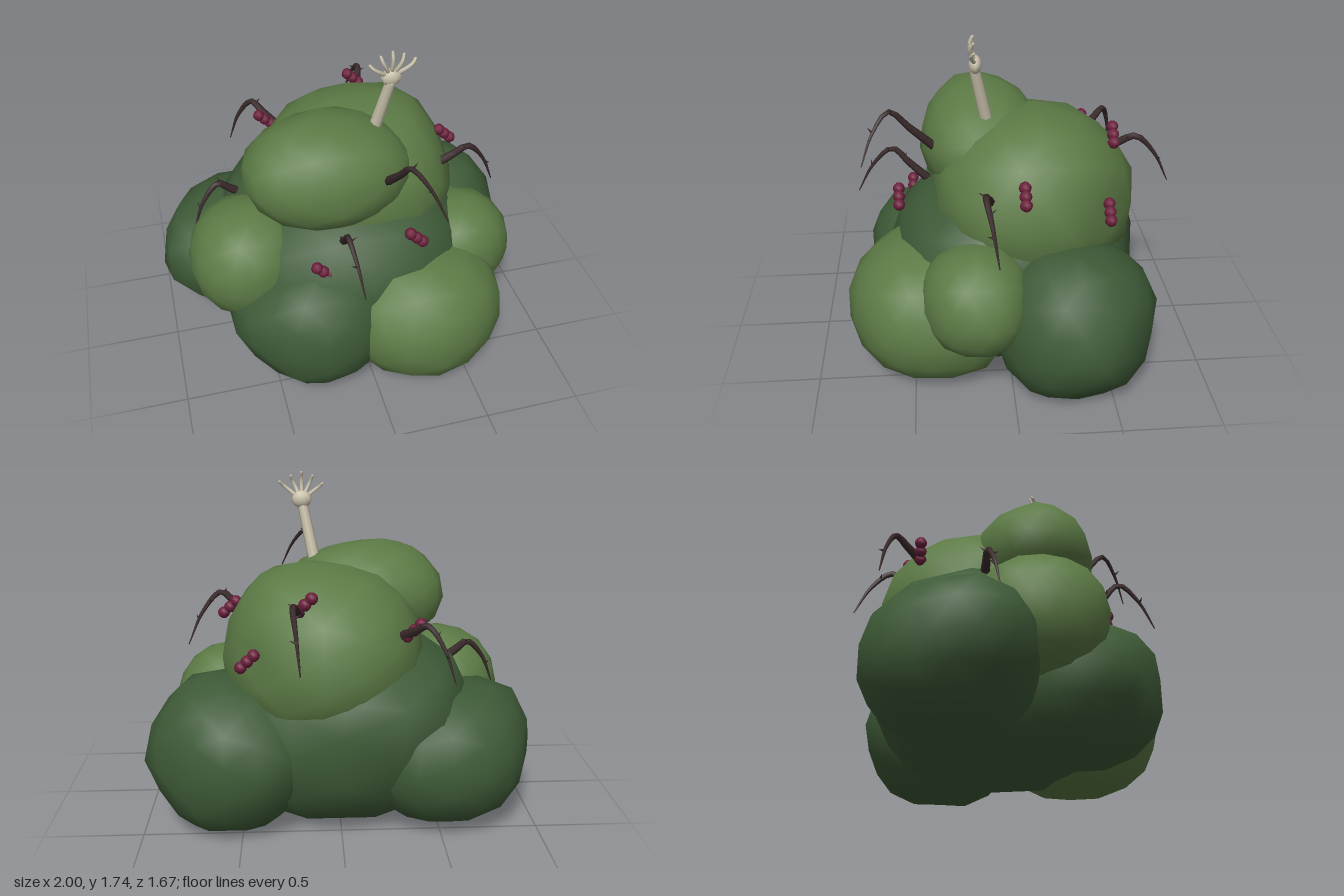
import * as THREE from 'three';
import { mergeVertices } from 'three/addons/utils/BufferGeometryUtils.js';

const mat = (name, color) => {
  const m = new THREE.MeshStandardMaterial({ color });
  m.name = name;
  return m;
};
const V = (p) => new THREE.Vector3(...p);

export function createModel() {
  const lightLeaf = mat('light leaf green', 0x5c7a45);
  const darkLeaf = mat('dark leaf green', 0x3e5a37);
  const bark = mat('dark bark', 0x3a2a2b);
  const berryRed = mat('berry red', 0x6c1f3b);
  const bone = mat('bone', 0xc9c2ab);
  const root = new THREE.Group();
  root.name = 'thornBush';

  const add = (parent, name, geo, material) => {
    const mesh = new THREE.Mesh(geo, material);
    mesh.name = name;
    parent.add(mesh);
    return mesh;
  };
  const group = (name) => {
    const g = new THREE.Group();
    g.name = name;
    root.add(g);
    return g;
  };

  // Leaf clump: ellipsoid pulled out or in towards the given lump points,
  // flattened at the ground
  const clump = (name, material, c, r, lumps = [], boxiness = 0.93) => {
    let geo = new THREE.IcosahedronGeometry(1, 2);
    geo.deleteAttribute('normal');
    geo.deleteAttribute('uv');
    geo = mergeVertices(geo, 1e-4);
    const p = geo.attributes.position, v = new THREE.Vector3();
    const box = (t) => Math.sign(t) * Math.pow(Math.abs(t), boxiness);
    const pulls = lumps.map((q) => V(q).sub(V(c)).divide(V(r)));
    for (let i = 0; i < p.count; i++) {
      v.fromBufferAttribute(p, i);
      v.set(box(v.x), box(v.y), box(v.z));
      const base = v.length();
      let sum = 0, total = 0;
      for (const q of pulls) {
        const w = Math.exp(-((v.angleTo(q) / 0.42) ** 2));
        sum += w * (q.length() - base);
        total += w;
      }
      v.multiplyScalar((base + sum / Math.max(1, total)) / base).multiply(V(r)).add(V(c));
      p.setXYZ(i, v.x, Math.max(0.005, v.y), v.z);
    }
    geo.computeVertexNormals();
    add(root, name, geo, material);
  };
  clump('core', darkLeaf, [0, 0.45, -0.03], [0.66, 0.5, 0.65],
    [[0.3, 0.92, 0.28], [-0.58, 0.85, -0.2], [-0.45, 0.75, -0.62], [0.1, 0.6, -0.68]], 0.84);
  clump('frontRightClump', darkLeaf, [-0.28, 0.35, 0.33], [0.44, 0.38, 0.42],
    [[-0.5, 0.62, 0.38], [-0.54, 0.14, 0.4], [-0.52, 0.36, 0.62], [-0.1, 0.73, 0.35]]);
  clump('frontLeftClump', lightLeaf, [0.3, 0.34, 0.41], [0.45, 0.37, 0.42],
    [[0.2, 0.36, 0.84], [0.74, 0.36, 0.43], [0.55, 0.36, 0.75], [-0.03, 0.4, 0.73],
      [0.02, 0.67, 0.48], [0.42, 0.69, 0.42], [0.63, 0.18, 0.08], [0.3, 0.14, 0.79]]);
  clump('backLeftClump', darkLeaf, [0.57, 0.37, -0.31], [0.42, 0.41, 0.41],
    [[1, 0.38, -0.43], [0.87, 0.42, -0.05], [0.6, 0.5, -0.72], [0.25, 0.42, -0.68],
      [0.82, 0.4, -0.57], [0.74, 0.78, -0.22], [0.89, 0.62, -0.3], [0.88, 0.16, -0.35]]);
  clump('backRightClump', darkLeaf, [-0.53, 0.37, -0.31], [0.45, 0.37, 0.42],
    [[-1, 0.39, -0.06], [-0.95, 0.39, -0.4], [-0.78, 0.38, -0.67], [-0.43, 0.4, -0.73],
      [-0.92, 0.62, -0.12], [-0.85, 0.19, -0.25]]);
  clump('rightClump', lightLeaf, [-0.57, 0.6, 0.1], [0.31, 0.31, 0.33],
    [[-0.66, 0.89, 0.1], [-0.42, 0.9, 0.1], [-0.87, 0.58, 0], [-0.75, 0.58, 0.38]]);
  clump('leftClump', lightLeaf, [0.57, 0.52, 0.18], [0.3, 0.28, 0.28],
    [[0.87, 0.52, 0.06], [0.74, 0.55, 0.4], [0.62, 0.8, 0.08], [0.65, 0.28, 0.28]]);
  clump('topDome', lightLeaf, [0.09, 0.87, -0.16], [0.53, 0.45, 0.54],
    [[0.41, 0.9, -0.46], [0.52, 1.06, -0.07], [0.62, 0.86, -0.2], [0.4, 1.28, -0.12],
      [0.1, 1.14, -0.55], [0.1, 0.88, -0.69], [-0.3, 1.02, -0.48]]);
  clump('topFrontClump', lightLeaf, [-0.14, 1.09, 0.12], [0.45, 0.28, 0.32],
    [[-0.33, 1.38, 0.18], [-0.07, 1.36, -0.05], [0.13, 1.31, 0.12], [0.3, 1.07, 0.16],
      [-0.15, 0.97, 0.43], [-0.15, 1.15, 0.42], [-0.58, 1.07, 0.12], [-0.48, 0.93, 0.14]]);

  // Tube along a curve whose radius tapers from r0 to r1
  const taperTube = (curve, r0, r1, steps, sides) => {
    const geo = new THREE.TubeGeometry(curve, steps, 1, sides);
    const p = geo.attributes.position, v = new THREE.Vector3();
    for (let i = 0; i <= steps; i++) {
      const c = curve.getPointAt(i / steps);
      const r = r0 + (r1 - r0) * i / steps;
      for (let j = 0; j <= sides; j++) {
        const k = i * (sides + 1) + j;
        v.fromBufferAttribute(p, k).sub(c).multiplyScalar(r).add(c);
        p.setXYZ(k, v.x, v.y, v.z);
      }
    }
    return geo;
  };
  const up = new THREE.Vector3(0, 1, 0);

  // Thorny branches: root, bend and tip
  const branches = [
    [[0.11, 1.14, 0.36], [0.16, 1.36, 0.58], [0.3, 1.13, 0.72]],
    [[-0.12, 0.84, 0.4], [-0.145, 1.02, 0.59], [-0.11, 0.79, 0.78]],
    [[0.48, 1.01, 0.1], [0.62, 1.11, 0.13], [0.8, 0.83, 0.08]],
    [[0.18, 1.13, -0.47], [0.23, 1.22, -0.64], [0.2, 0.95, -0.83]],
    [[-0.3, 1.03, -0.47], [-0.4, 1.11, -0.59], [-0.53, 0.84, -0.66]],
    [[-0.56, 0.82, -0.16], [-0.67, 0.9, -0.155], [-0.82, 0.66, -0.11]],
  ];
  branches.forEach((pts, n) => {
    const g = group('thornBranch' + (n + 1));
    const [a, b, c] = pts.map(V);
    const mid = b.clone().lerp(c, 0.45).addScaledVector(c.clone().sub(a).setY(0).normalize(), 0.02);
    mid.y += 0.02;
    const curve = new THREE.CatmullRomCurve3([a, a.clone().lerp(b, 0.55), b, mid, c]);
    add(g, 'stem', taperTube(curve, 0.024, 0.003, 14, 6), bark);
    const cap = add(g, 'stemEnd', new THREE.SphereGeometry(0.024, 6, 4), bark);
    cap.position.copy(a);
    [0.3, 0.5, 0.72].forEach((t, i) => {
      const tangent = curve.getTangentAt(t);
      const side = new THREE.Vector3().crossVectors(tangent, up).normalize();
      if (i % 2) side.negate();
      side.addScaledVector(up, 0.5).normalize();
      const thorn = add(g, 'thorn', new THREE.ConeGeometry(0.008, 0.04, 5), bark);
      thorn.position.copy(curve.getPointAt(t)).addScaledVector(side, 0.022);
      thorn.quaternion.setFromUnitVectors(up, side);
    });
  });

  // Berry clusters of three
  const berryGeo = new THREE.SphereGeometry(0.031, 8, 6);
  [
    [0.212, 0.915, 0.55], [-0.247, 0.74, 0.49], [0.56, 1.075, -0.06],
    [0.455, 0.915, -0.49], [0.175, 1.205, -0.54], [-0.35, 1.055, -0.47],
  ].forEach(([x, y, z], n) => {
    const g = group('berryCluster' + (n + 1));
    for (const k of [-1, 0, 1]) {
      add(g, 'berry', berryGeo, berryRed).position.set(x + k * 0.032, y - k * 0.03, z);
    }
  });

  // Skeletal arm and hand
  const arm = group('boneArm');
  const forearm = new THREE.LineCurve3(V([0.11, 1.25, 0.09]), V([0.175, 1.57, 0.155]));
  add(arm, 'forearm', taperTube(forearm, 0.033, 0.027, 2, 8), bone);
  const wrist = add(arm, 'wrist', new THREE.SphereGeometry(0.027, 8, 6), bone);
  wrist.position.copy(forearm.v2);
  const palm = add(arm, 'palm', new THREE.SphereGeometry(1, 10, 8), bone);
  palm.position.set(0.18, 1.6, 0.152);
  palm.scale.set(0.052, 0.046, 0.032);
  [[0.07, 1.68], [0.122, 1.72], [0.18, 1.738], [0.236, 1.72], [0.294, 1.69]].forEach(([x, y], i) => {
    const dx = x - 0.18, dy = y - 1.6;
    const curve = new THREE.CatmullRomCurve3([
      V([0.18 + dx * 0.25, 1.6 + dy * 0.2, 0.155]),
      V([0.18 + dx * 0.6, 1.6 + dy * 0.55, 0.172]),
      V([0.18 + dx * 0.85, 1.6 + dy * 0.8, 0.174]),
      V([x, y, 0.162]),
    ]);
    add(arm, 'finger' + (i + 1), taperTube(curve, 0.012, 0.008, 8, 6), bone);
    const tip = add(arm, 'fingertip', new THREE.SphereGeometry(0.008, 6, 4), bone);
    tip.position.set(x, y, 0.162);
  });

  return root;
}
